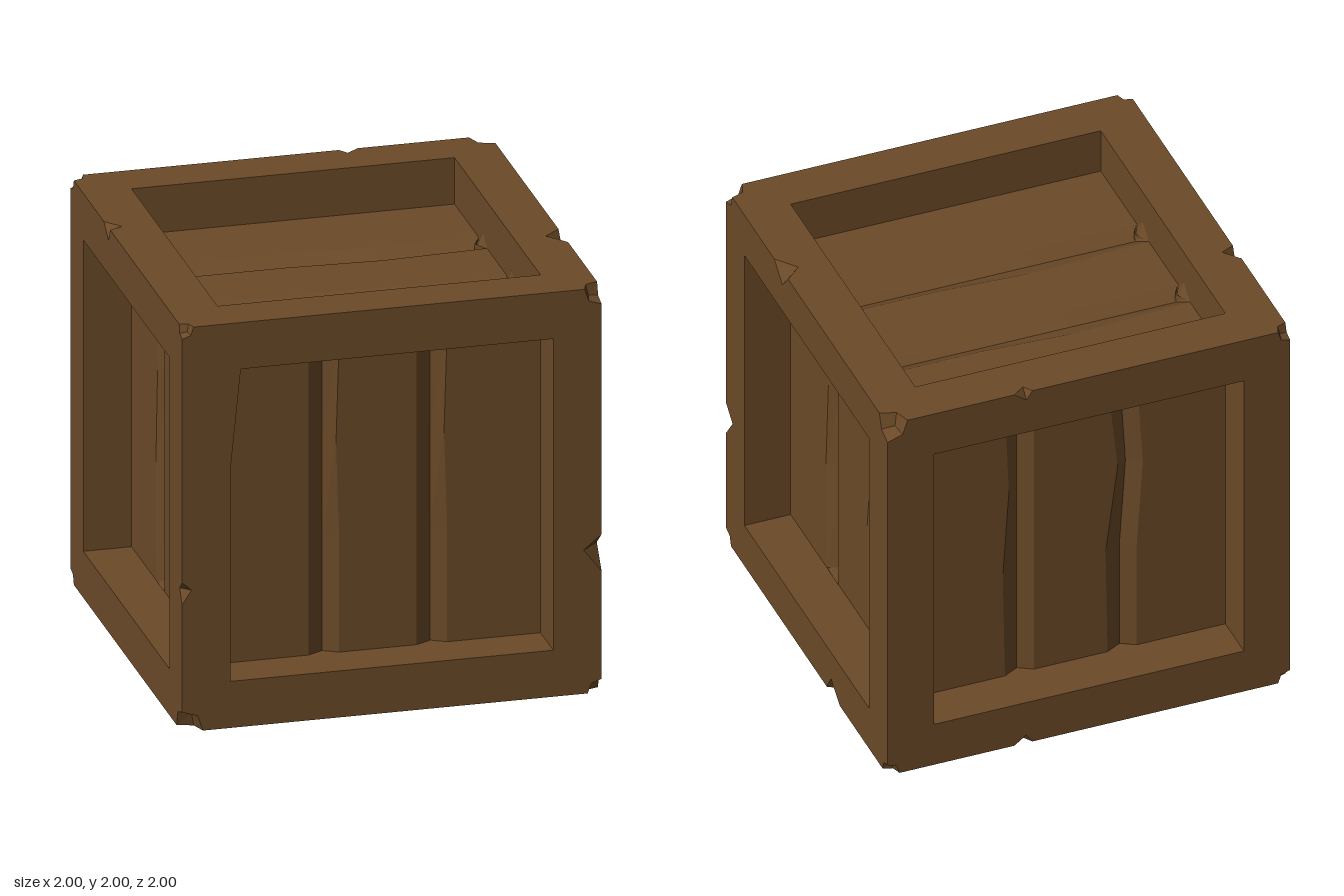
import * as THREE from 'three';

const I = 0.77; // inner half size of the frame, also the plank surface
const material = new THREE.MeshStandardMaterial({ color: 0x6b4a28, flatShading: true, side: THREE.DoubleSide });

// Mesh from a list of triangles, each three [x, y, z] corners
function triMesh(name, tris) {
  const geo = new THREE.BufferGeometry();
  geo.setAttribute('position', new THREE.Float32BufferAttribute(tris.flat(2), 3));
  geo.computeVertexNormals();
  const mesh = new THREE.Mesh(geo, material);
  mesh.name = name;
  return mesh;
}

// Put (t, p, q) on axis a and the two axes after it
function onAxis(a, t, p, q) {
  const v = [0, 0, 0];
  v[a] = t;
  v[(a + 1) % 3] = p;
  v[(a + 2) % 3] = q;
  return v;
}

// Chipped notches: [start, deepest, end, depth] by axis and the signs of the next two axes
const notches = {
  '1++': [-0.4, -0.29, -0.22, 0.085],
  '1+-': [-0.37, -0.3, -0.26, 0.045],
  '2++': [0.23, 0.3, 0.4, 0.08],
  '2+-': [-0.41, -0.3, -0.25, 0.08],
  '0+-': [0.28, 0.31, 0.37, 0.045],
  '2-+': [-0.4, -0.32, -0.29, 0.065],
  '0--': [0.28, 0.31, 0.37, 0.045],
};

// One frame beam: a square section whose outer edge is cut back at the notch
function beam(a, sb, sc) {
  const key = a + (sb > 0 ? '+' : '-') + (sc > 0 ? '+' : '-');
  const n = notches[key];
  const worn = key === '1+-'; // this post widens towards its top
  const stations = [[-I, 0]];
  if (n) stations.push([n[0], 0], [n[1], n[3]], [n[2], 0]);
  if (worn) stations.push([0.27, 0]);
  stations.push([I, 0]);
  const rings = stations.map(([t, d]) => {
    const q = worn && t === I ? 0.72 : I;
    return [[I, I], [1, q], [1, 1 - d], [1 - d, 1], [I, 1]]
      .map(([p, r]) => onAxis(a, t, sb * p, sc * r));
  });
  const tris = [];
  for (let k = 0; k < rings.length - 1; k++) {
    for (let i = 0; i < 5; i++) {
      const j = (i + 1) % 5, r0 = rings[k], r1 = rings[k + 1];
      tris.push([r0[i], r0[j], r1[j]], [r0[i], r1[j], r1[i]]);
    }
  }
  if (sb * sc < 0) tris.forEach((t) => t.reverse());
  return triMesh('frameBeam', tris);
}

// Corner block with a faceted chip of size s broken off
function corner(sx, sy, sz, s) {
  const tris = [];
  const k = 1 - 0.75 * s, c = 1 - 0.62 * s, centre = [c, c, c];
  for (let a = 0; a < 3; a++) {
    const f = [[I, I], [1, I], [1, 1 - s], [k, k], [1 - s, 1], [I, 1]].map(([p, q]) => onAxis(a, 1, p, q));
    for (let i = 1; i < 5; i++) tris.push([f[0], f[i], f[i + 1]]);
    tris.push([f[3], f[2], centre], [f[4], f[3], centre]);
  }
  const out = tris.map((t) => t.map(([x, y, z]) => [sx * x, sy * y, sz * z]));
  if (sx * sy * sz < 0) out.forEach((t) => t.reverse());
  return triMesh('frameCorner', out);
}

// Three planks side by side, parted by two worn V grooves; facing +z before turning
function planks(name, { centres = [-0.26, 0.255], wearLow = [0, 0, 0, 0], wearHigh = [0, 0, 0, 0],
  bend = [0, 0, 0, 0], hip = false }) {
  const floor = 0.73;
  const rows = [-I, -0.2, 0.27, I].map((t, r) => {
    const pts = [[-I, t, I]];
    centres.forEach((u, g) => {
      const v = u + (g ? bend[r] : 0);
      const end = hip && Math.abs(t) === I ? Math.sign(t) * floor : t;
      pts.push([v - 0.075 - wearLow[r], t, I], [v, end, floor], [v + 0.07 + wearHigh[r], t, I]);
    });
    pts.push([I, t, I]);
    return pts;
  });
  const tris = [];
  for (let r = 0; r < 3; r++) {
    for (let i = 0; i < 7; i++) {
      const [a, b, c, d] = [rows[r][i], rows[r][i + 1], rows[r + 1][i + 1], rows[r + 1][i]];
      tris.push([a, b, c], [a, c, d]);
    }
  }
  // Splinters closing the groove ends
  if (hip) {
    [0, 3].forEach((r) => [2, 5].forEach((i) => {
      const [lo, mid, hi] = rows[r].slice(i - 1, i + 2);
      const tip = [mid[0], lo[1], I + 0.06];
      const pair = [[lo, tip, mid], [tip, hi, mid]];
      if (r === 0) pair.forEach((t) => t.reverse());
      tris.push(...pair);
    }));
  }
  return triMesh(name, tris);
}

export function createModel() {
  const crate = new THREE.Group();
  crate.name = 'crate';

  // Frame: twelve beams and eight chipped corners
  const frame = new THREE.Group();
  frame.name = 'frame';
  const signs = [-1, 1];
  for (let a = 0; a < 3; a++) for (const sb of signs) for (const sc of signs) frame.add(beam(a, sb, sc));
  const chips = [0.06, 0.1, 0.06, 0.055, 0.06, 0.065, 0.1, 0.08];
  let n = 0;
  for (const sx of signs) for (const sy of signs) for (const sz of signs) frame.add(corner(sx, sy, sz, chips[n++]));
  frame.position.y = 1;
  crate.add(frame);

  // Recessed planks: upright on the sides, running along x on top and bottom
  const H = Math.PI / 2;
  const bent = { centres: [-0.25, 0.26], wearLow: [0, 0.01, -0.02, 0], bend: [0, 0, 0.03, 0] };
  const lid = { centres: [-0.26, 0.25], wearLow: [0, 0.03, 0, 0], wearHigh: [0, 0, 0.025, 0], hip: true };
  const panels = [
    ['frontPlanks', { wearHigh: [0, 0, -0.015, 0] }, [0, 0, 0]],
    ['leftPlanks', bent, [0, H, 0]],
    ['backPlanks', bent, [0, Math.PI, 0]],
    ['rightPlanks', bent, [0, -H, 0]],
    ['topPlanks', lid, [-H, 0, -H]],
    ['bottomPlanks', lid, [H, 0, H]],
  ];
  for (const [name, options, turn] of panels) {
    const mesh = planks(name, options);
    mesh.rotation.set(...turn);
    mesh.position.y = 1;
    crate.add(mesh);
  }
  return crate;
}
